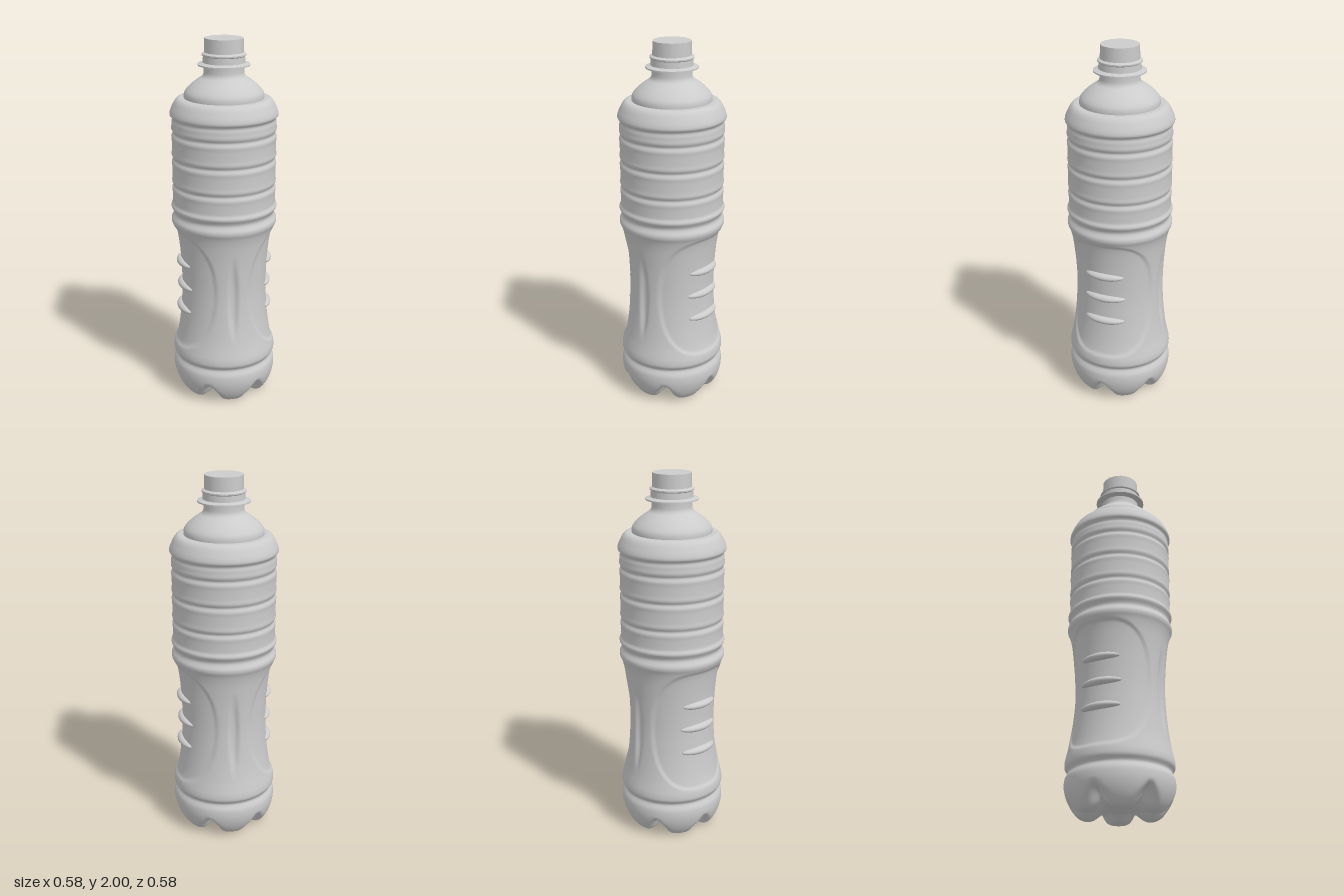
import * as THREE from 'three';
import { mergeVertices, toCreasedNormals } from 'three/addons/utils/BufferGeometryUtils.js';

const { smoothstep } = THREE.MathUtils;
const material = new THREE.MeshStandardMaterial({ color: 0xcccccc });
const vectors = list => list.map(([r, y]) => new THREE.Vector2(r, y));

// Smooth outline through [radius, height] points, evenly resampled
function smoothProfile(points, count) {
  const curve = new THREE.CatmullRomCurve3(points.map(([r, y]) => new THREE.Vector3(r, y, 0)));
  curve.arcLengthDivisions = 3000;
  return curve.getSpacedPoints(count).map(p => new THREE.Vector2(Math.max(p.x, 0), p.y));
}

// Weld seam and poles so that the normals run smoothly all round
function weld(geometry) {
  geometry.deleteAttribute('uv');
  geometry.deleteAttribute('normal');
  const welded = mergeVertices(geometry, 1e-5);
  welded.computeVertexNormals();
  return welded;
}

// Plain radius of the waist, used by the body and the grip ribs
const waist = [
  [0.285, 0.275], [0.279, 0.305], [0.267, 0.36], [0.253, 0.46], [0.245, 0.56],
  [0.242, 0.65], [0.245, 0.76], [0.252, 0.86], [0.264, 0.95], [0.276, 0.995],
];

function bodyProfile() {
  const points = [
    [0, 0.028], [0.035, 0.028], [0.05, 0.034], [0.068, 0.034], [0.1, 0.018],
    [0.15, 0.004], [0.195, 0], [0.225, 0.008], [0.25, 0.035], [0.271, 0.075],
    [0.283, 0.115], [0.287, 0.15], [0.284, 0.185], [0.275, 0.204], [0.269, 0.217],
    [0.275, 0.23], [0.285, 0.245], ...waist,
    [0.285, 1.015], [0.286, 1.035], [0.277, 1.052], [0.271, 1.068], [0.277, 1.085],
    [0.286, 1.1], [0.285, 1.112], [0.278, 1.122], [0.277, 1.135],
  ];
  // Horizontal grooves between the label bands
  for (const y of [1.225, 1.37, 1.51]) {
    points.push([0.278, y - 0.04], [0.28, y - 0.022], [0.276, y - 0.011], [0.27, y],
      [0.276, y + 0.011], [0.28, y + 0.022], [0.278, y + 0.04]);
  }
  // Shoulder step
  points.push([0.277, 1.57], [0.273, 1.585], [0.28, 1.596], [0.287, 1.604], [0.285, 1.622],
    [0.271, 1.655], [0.256, 1.68], [0.241, 1.692], [0.225, 1.694], [0.211, 1.694]);
  return smoothProfile(points, 250);
}

// Recess of the two side panels and the two upright grooves
function recess(x, y, z) {
  const panel = Math.pow((z / 0.225) ** 4 + ((y - 0.645) / 0.342) ** 4, 0.25);
  const slot = Math.hypot(x / 0.032, (y - 0.63) / 0.26);
  return 0.008 * (1 - smoothstep(panel, 0.965, 1.02))
    + 0.015 * (1 - smoothstep(slot, 0.35, 1.05));
}

function makeBody() {
  const geometry = new THREE.LatheGeometry(bodyProfile(), 168);
  const pos = geometry.attributes.position;
  const sector = Math.PI / 3;
  for (let i = 0; i < pos.count; i++) {
    const x = pos.getX(i), y = pos.getY(i), z = pos.getZ(i);
    let r = Math.hypot(x, z), newY = y;
    const angle = Math.atan2(z, x);
    if (y < 0.15) {
      // Six notches that part the foot into petals
      const offset = (angle - Math.round(angle / sector) * sector) * r;
      const width = 0.022 + 0.022 * (1 - smoothstep(y, 0.02, 0.13));
      const notch = Math.exp(-((offset / width) ** 2))
        * (1 - smoothstep(y, 0.03, 0.14)) * smoothstep(r, 0.055, 0.14);
      newY += 0.045 * notch;
      r -= 0.045 * notch * smoothstep(r, 0.12, 0.24);
    } else if (y > 0.28 && y < 1) {
      r -= recess(x, y, z);
    }
    pos.setXYZ(i, r * Math.cos(angle), newY, r * Math.sin(angle));
  }
  return weld(geometry);
}

// Spindle-shaped rib wrapped around the waist
function makeRib(y, halfAngle, side) {
  const geometry = new THREE.SphereGeometry(1, 28, 16);
  const pos = geometry.attributes.position;
  const k = waist.findIndex(p => p[1] > y);
  const [a, b] = [waist[k - 1], waist[k]];
  const radius = THREE.MathUtils.mapLinear(y, a[1], b[1], a[0], b[0]) - 0.01;
  for (let i = 0; i < pos.count; i++) {
    const angle = pos.getZ(i) * halfAngle;
    const r = radius + 0.028 * pos.getX(i);
    pos.setXYZ(i, r * Math.cos(angle), y + 0.021 * pos.getY(i), r * Math.sin(angle));
  }
  if (side < 0) geometry.rotateY(Math.PI);
  return weld(geometry);
}

export function createModel() {
  const bottle = new THREE.Group();
  bottle.name = 'bottle';
  const add = (name, geometry, parent = bottle) => {
    const mesh = new THREE.Mesh(geometry, material);
    mesh.name = name;
    parent.add(mesh);
    return mesh;
  };

  add('body', makeBody());

  // Domed shoulder rising to the neck
  add('shoulder', weld(new THREE.LatheGeometry(smoothProfile([
    [0.211, 1.69], [0.211, 1.705], [0.207, 1.722], [0.193, 1.742], [0.165, 1.768],
    [0.135, 1.79], [0.115, 1.804], [0.107, 1.818], [0.105, 1.835], [0.105, 1.862],
  ], 40), 96)));

  // Neck with support flange and tamper ring
  const neck = new THREE.LatheGeometry(vectors([
    [0.105, 1.855], [0.138, 1.861], [0.138, 1.868], [0.111, 1.876], [0.109, 1.908],
    [0.116, 1.913], [0.116, 1.92], [0.107, 1.926], [0.1, 1.928],
  ]), 64);
  add('neck', toCreasedNormals(neck, 0.5));

  // Closed mouth
  const mouth = add('mouth', new THREE.CylinderGeometry(0.101, 0.103, 0.09, 18));
  mouth.position.y = 1.955;

  // Three grip ribs on each side panel
  for (const side of [1, -1]) {
    const ribs = new THREE.Group();
    ribs.name = side > 0 ? 'leftGripRibs' : 'rightGripRibs';
    for (const [y, halfAngle] of [[0.517, 0.5], [0.652, 0.53], [0.787, 0.48]]) {
      add('gripRib', makeRib(y, halfAngle, side), ribs);
    }
    bottle.add(ribs);
  }
  return bottle;
}
